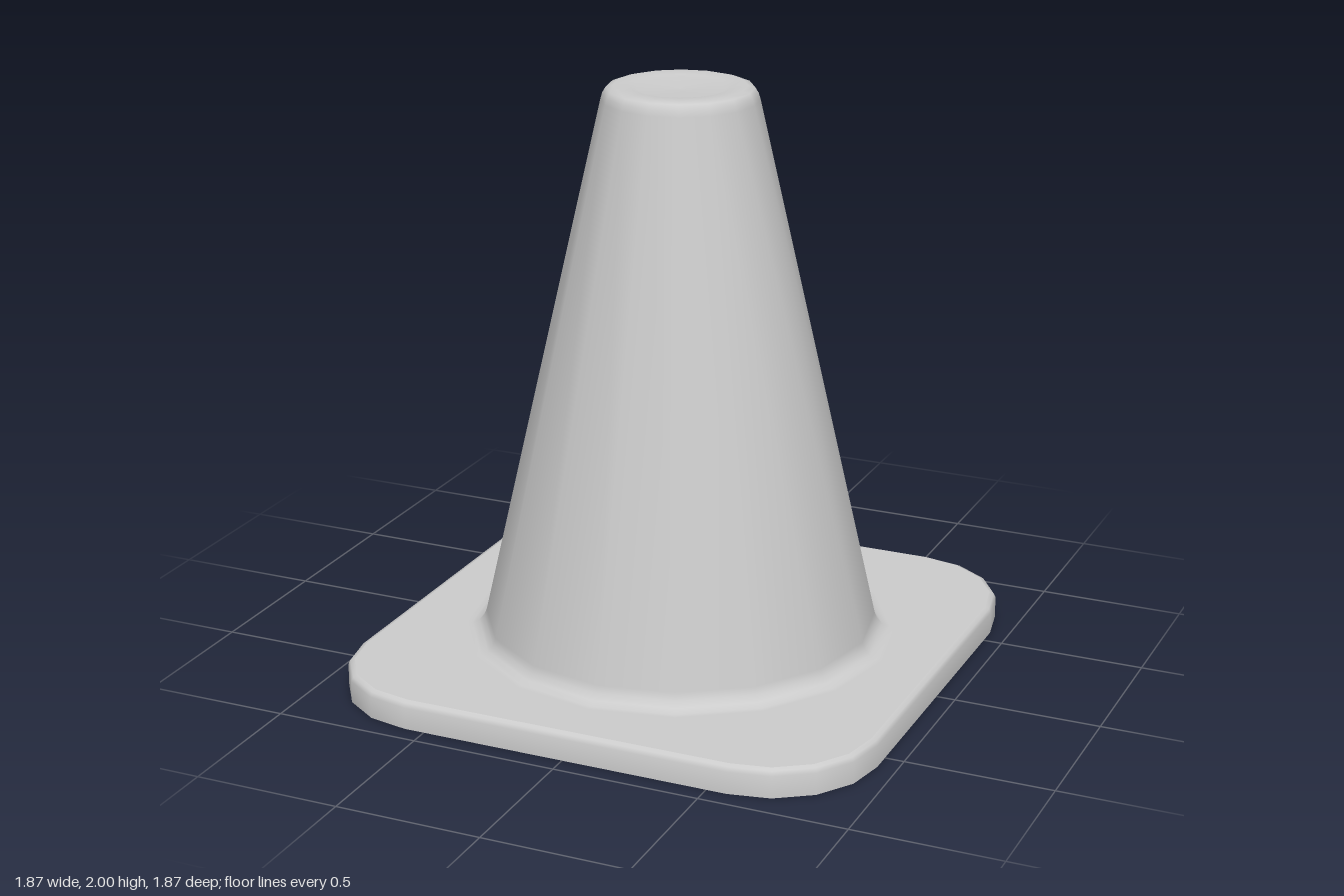
import * as THREE from 'three';
import { toCreasedNormals } from 'three/addons/utils/BufferGeometryUtils.js';

const SIDES = 16;
const HALF = 0.935, CORNER = 0.365;
const TOP = 0.096, UNDER = 0.05;

// rounded-square outline as [x, z] pairs, moved inwards by inset
function outline(inset) {
  const pts = [], c = HALF - CORNER, r = CORNER - inset;
  for (let k = 0; k < 4; k++) {
    const mid = Math.PI / 4 + k * Math.PI / 2;
    const cx = c * Math.sign(Math.sin(mid)), cz = c * Math.sign(Math.cos(mid));
    for (let j = 0; j <= 4; j++) {
      const a = k * Math.PI / 2 + j * Math.PI / 8;
      pts.push([cx + r * Math.sin(a), cz + r * Math.cos(a)]);
    }
  }
  return pts;
}

// skin through outlines given as [inset, y]
function loft(rings) {
  const pos = [], idx = [], n = 20;
  for (const [inset, y] of rings) for (const [x, z] of outline(inset)) pos.push(x, y, z);
  for (let i = 0; i < rings.length - 1; i++) {
    for (let j = 0; j < n; j++) {
      const a = i * n + j, b = i * n + (j + 1) % n;
      idx.push(a, b, a + n, b, b + n, a + n);
    }
  }
  const g = new THREE.BufferGeometry();
  g.setAttribute('position', new THREE.Float32BufferAttribute(pos, 3));
  g.setIndex(idx);
  return toCreasedNormals(g, 0.85);
}

// flat rounded square with a round opening, facing up (1) or down (-1)
function sheet(inset, hole, y, facing) {
  const shape = new THREE.Shape(outline(inset).map(([x, z]) => new THREE.Vector2(x, z)));
  const ring = [];
  for (let i = 0; i < SIDES; i++) {
    const a = i / SIDES * Math.PI * 2;
    ring.push(new THREE.Vector2(hole * Math.cos(a), hole * Math.sin(a)));
  }
  shape.holes.push(new THREE.Path(ring));
  return new THREE.ShapeGeometry(shape).rotateX(-facing * Math.PI / 2).translate(0, y, 0);
}

function lathe(profile) {
  return new THREE.LatheGeometry(profile.map(([r, y]) => new THREE.Vector2(r, y)), SIDES);
}

export function createModel() {
  const group = new THREE.Group();
  const material = new THREE.MeshStandardMaterial({ color: 0xcccccc });
  const add = (name, geometry) => {
    const mesh = new THREE.Mesh(geometry, material);
    mesh.name = name;
    group.add(mesh);
  };

  // square foot: recessed underside rim, outer wall and rounded top edge
  add('baseEdge', loft([
    [0.09, UNDER], [0.09, 0], [0, 0], [0, 0.075], [0.007, 0.09], [0.022, TOP],
  ]));
  add('baseTop', sheet(0.022, 0.74, TOP, 1));
  add('baseUnderside', sheet(0.09, 0.62, UNDER, -1));

  // tapered body with a flared foot and a nearly flat, slightly sunken top
  add('coneBody', lathe([
    [0.74, TOP], [0.72, TOP], [0.695, 0.106], [0.678, 0.125], [0.668, 0.15],
    [0.26, 1.955], [0.254, 1.975], [0.243, 1.993], [0.22, 2],
    [0.165, 1.997], [0.145, 1.99], [0, 1.985],
  ]));

  // hollow inside, flaring out into the underside
  add('coneInside', lathe([
    [0, 1.83], [0.08, 1.83], [0.11, 1.8],
    [0.48, 0.18], [0.495, 0.125], [0.525, 0.08], [0.565, 0.057], [0.6, UNDER], [0.62, UNDER],
  ]));

  return group;
}
